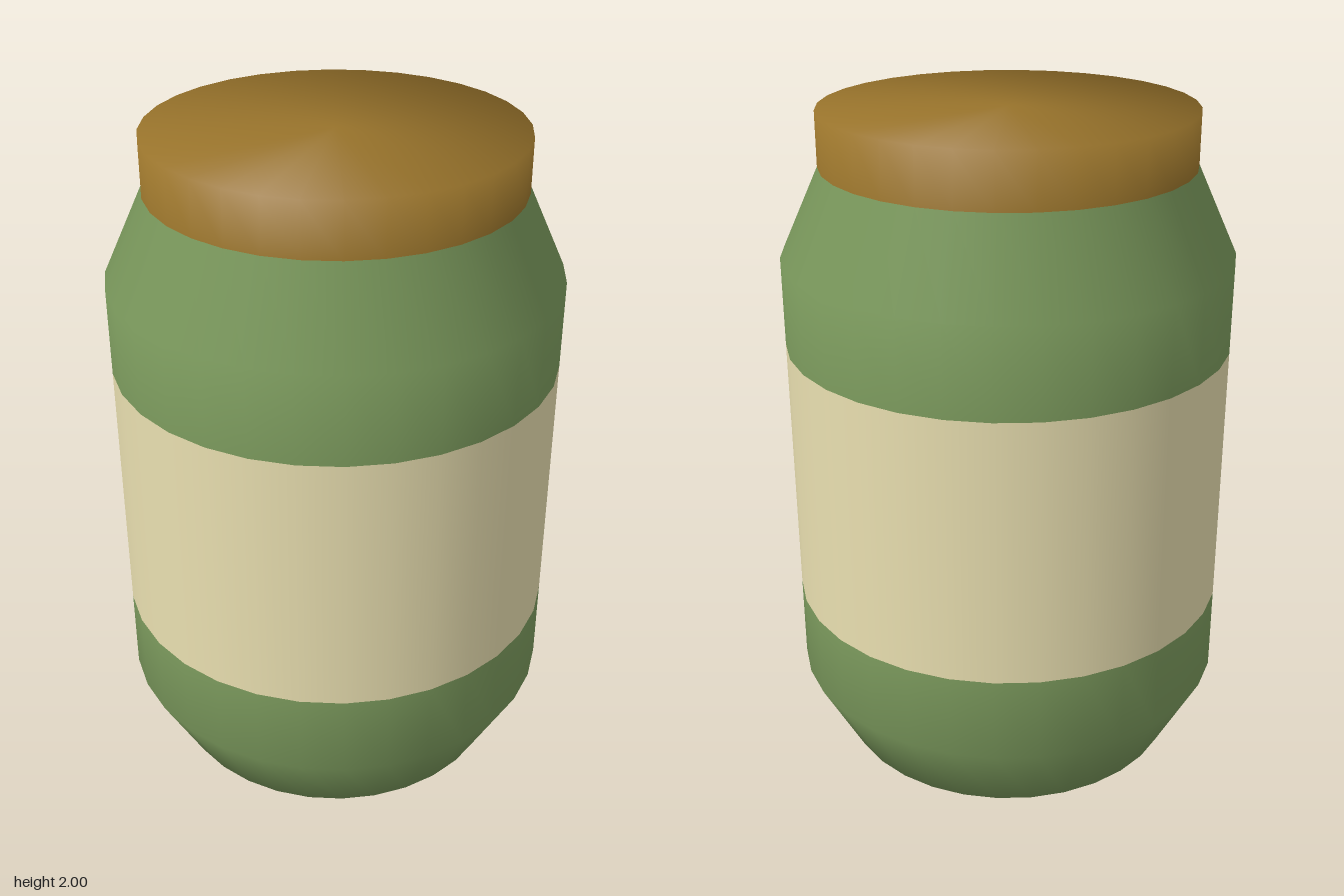
import * as THREE from 'three';

const SIDES = 32;

// Revolves a bottom-to-top profile of [radius, y, outward normal, upward normal].
// Shared normals at the corners keep the shading soft over the whole jar.
function ring(name, color, profile) {
  const points = profile.map(([r, y]) => new THREE.Vector2(r, y));
  const geometry = new THREE.LatheGeometry(points, SIDES);
  const normals = geometry.attributes.normal;
  for (let i = 0; i <= SIDES; i++) {
    const a = (i / SIDES) * Math.PI * 2;
    profile.forEach(([, , out, up], j) => {
      normals.setXYZ(i * profile.length + j, out * Math.sin(a), up, out * Math.cos(a));
    });
  }
  const mesh = new THREE.Mesh(geometry, new THREE.MeshStandardMaterial({ color }));
  mesh.name = name;
  return mesh;
}

export function createModel() {
  const jar = new THREE.Group();
  jar.name = 'jar';
  const green = 0x7d9c5e;
  const R = 0.664; // widest radius
  const neck = 0.544; // lid radius

  jar.add(
    // closed base, chamfer and lower wall
    ring('lowerBody', green, [
      [0, 0, 0, -0.86],
      [0.532, 0, 0.51, -0.86],
      [R, 0.25, 0.97, -0.24],
      [R, 0.51, 1, 0],
    ]),
    // paper band around the middle
    ring('label', 0xe9dfb0, [
      [R, 0.51, 1, 0],
      [R, 1.315, 1, 0],
    ]),
    // upper wall and sloping shoulder
    ring('shoulder', green, [
      [R, 1.315, 1, 0],
      [R, 1.58, 0.98, 0.21],
      [neck, 1.84, 0.98, 0.21],
    ]),
    // lid wall and flat top
    ring('lid', 0x98732b, [
      [neck, 1.84, 0.98, 0.21],
      [neck, 2, 0.71, 0.71],
      [0, 2, 0, 0.71],
    ])
  );
  return jar;
}
